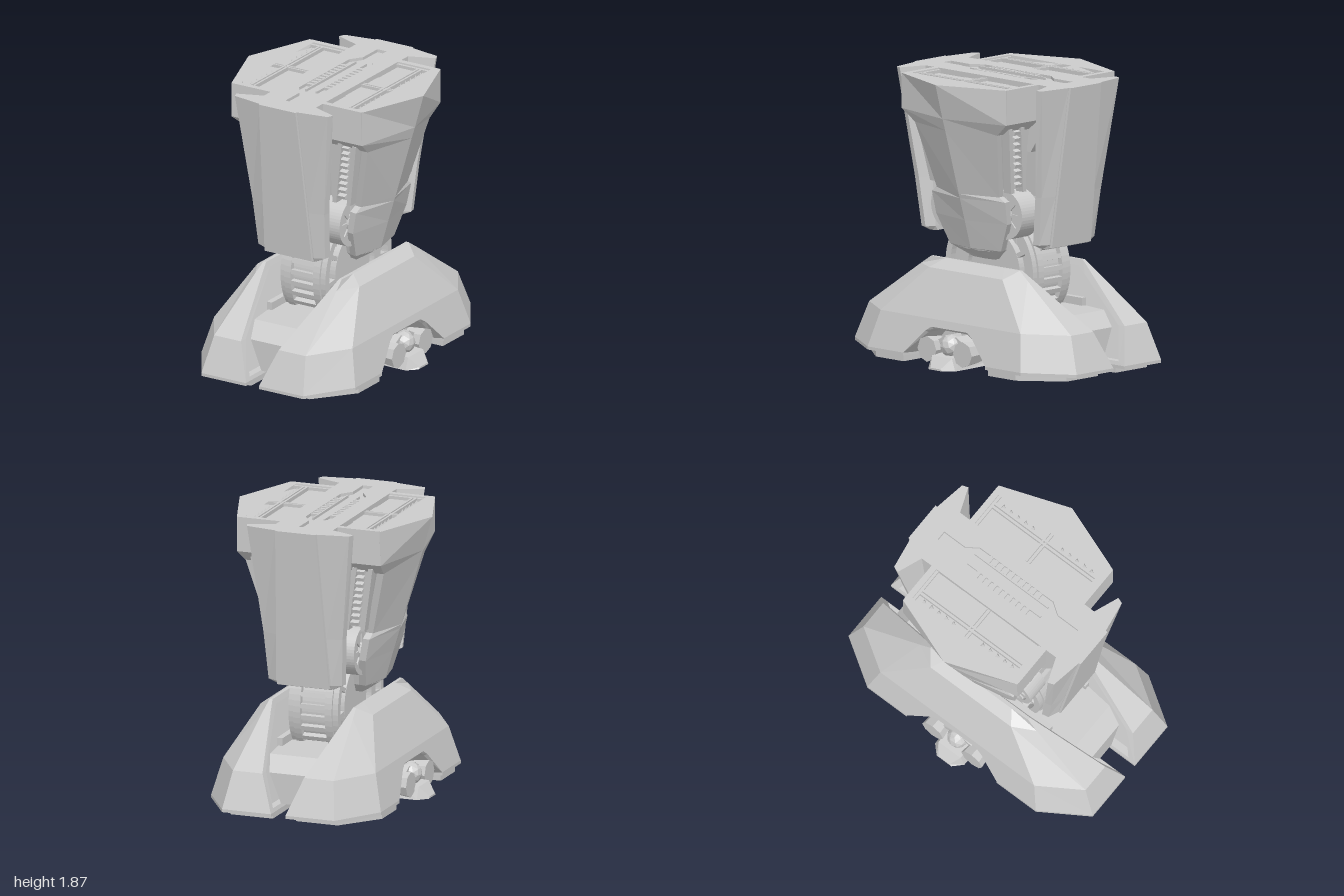
import * as THREE from 'three';

const mat = new THREE.MeshStandardMaterial({ color: 0xcccccc, flatShading: true });
const thin = new THREE.MeshStandardMaterial({ color: 0xcccccc, flatShading: true, side: THREE.DoubleSide });

function add(parent, name, geo, pos = [0, 0, 0], rot = [0, 0, 0], material = mat) {
  const m = new THREE.Mesh(geo, material);
  m.name = name;
  m.position.set(...pos);
  m.rotation.set(...rot);
  parent.add(m);
  return m;
}
const box = (p, name, size, pos, rot) => add(p, name, new THREE.BoxGeometry(...size), pos, rot);

// Flat polygons, each split as a fan
function facets(polys, flip = false) {
  const v = [];
  for (const p of polys) {
    for (let i = 1; i < p.length - 1; i++) {
      v.push(...p[0], ...(flip ? p[i + 1] : p[i]), ...(flip ? p[i] : p[i + 1]));
    }
  }
  const g = new THREE.BufferGeometry();
  g.setAttribute('position', new THREE.Float32BufferAttribute(v, 3));
  g.computeVertexNormals();
  return g;
}

// Closed solid through rings of equal length; faces turned outward by signed volume
function loft(rings) {
  const polys = [[...rings[0]].reverse(), rings[rings.length - 1]];
  const n = rings[0].length;
  for (let k = 0; k < rings.length - 1; k++) {
    const a = rings[k], b = rings[k + 1];
    for (let i = 0; i < n; i++) polys.push([a[i], a[(i + 1) % n], b[(i + 1) % n], b[i]]);
  }
  let vol = 0;
  const [A, B, C] = [0, 1, 2].map(() => new THREE.Vector3());
  for (const p of polys) {
    for (let i = 1; i < p.length - 1; i++) {
      vol += A.set(...p[0]).dot(B.set(...p[i]).cross(C.set(...p[i + 1])));
    }
  }
  return facets(polys, vol < 0);
}
const ring = (y, pts) => pts.map(([x, z]) => [x, y, z]);
const mirrorZ = pts => [...pts, ...[...pts].reverse().map(([x, z]) => [x, -z])];
const mirrorX = pts => [...pts, ...[...pts].reverse().map(([x, z]) => [-x, z])];

// Horizontal plate from an x-z outline
function slab(pts, y0, y1, hole) {
  const toV = ([x, z]) => new THREE.Vector2(x, -z);
  const s = new THREE.Shape(pts.map(toV));
  if (hole) s.holes.push(new THREE.Path(hole.map(toV)));
  return new THREE.ExtrudeGeometry(s, { depth: y1 - y0, bevelEnabled: false }).rotateX(-Math.PI / 2).translate(0, y0, 0);
}

// Half of the foot armour, with an arch in its outer side and a recessed inner wall
function footCover(g) {
  const levels = [
    [0.06, [[0.05, 1], [0.39, 1], [0.59, 0.69]]],
    [0.3, [[0.145, 0.91], [0.35, 0.91], [0.53, 0.63]]],
    [0.6, [[0.26, 0.48], [0.31, 0.48], [0.39, 0.33]]],
    [0.655, [[0.28, 0.4], [0.3, 0.4], [0.305, 0.27]]],
  ].map(([y, p]) => ring(y, mirrorZ(p)));
  const polys = [];
  for (let k = 0; k < 3; k++) {
    for (let i = 0; i < 5; i++) {
      if (k === 0 && i === 2) continue;
      const a = levels[k], b = levels[k + 1];
      polys.push([a[i], a[i + 1], b[i + 1], b[i]]);
    }
  }
  polys.push(levels[3]);
  // Arched outer side
  const side = (z, y) => [0.59 - (y - 0.06) * 0.25, y, z];
  const arch = [[0.37, 0.06], [0.21, 0.22], [0.16, 0.25]];
  for (const s of [1, -1]) {
    polys.push([side(s * 0.69, 0.06), side(s * 0.63, 0.3), ...[...arch].reverse().map(([z, y]) => side(s * z, y))]);
  }
  polys.push([side(0.63, 0.3), side(-0.63, 0.3), side(-0.16, 0.25), side(0.16, 0.25)]);
  const edge = mirrorX(arch);
  const lip = edge.map(([z, y]) => side(z, y));
  const lip2 = edge.map(([z, y]) => [0.53, 0.04 + (y - 0.04) * 0.94, z * 0.94]);
  const deep = lip2.map(([, y, z]) => [0.36, y, z]);
  for (let i = 0; i < 5; i++) {
    polys.push([lip[i], lip[i + 1], lip2[i + 1], lip2[i]], [lip2[i], lip2[i + 1], deep[i + 1], deep[i]]);
  }
  polys.push(deep);
  // Inner rim and recessed wall
  const P = [...levels.map(l => l[0]), ...[...levels].reverse().map(l => l[5])];
  const Q = P.map(([, y, z]) => {
    const q = 0.3 + (y - 0.3) * 0.9;
    return [0.05 + (q - 0.06) * 0.385, q, z * 0.94];
  });
  const R = Q.map(([x, y, z]) => [x + 0.05, y, z]);
  P.forEach((_, i) => {
    const j = (i + 1) % P.length;
    polys.push([P[i], P[j], Q[j], Q[i]], [Q[i], Q[j], R[j], R[i]]);
  });
  polys.push(R);
  add(g, 'footCover', facets(polys), undefined, undefined, thin);

  add(g, 'coverLip', slab(mirrorZ([[0.05, 1], [0.39, 1], [0.59, 0.69], [0.59, 0.37], [0.36, 0.35]]), 0.04, 0.06));
  for (const s of [1, -1]) {
    const pad = [[0.08, 0.3], [0.36, 0.3], [0.4, 0.38], [0.575, 0.38], [0.575, 0.63], [0.37, 0.89], [0.08, 0.89]];
    const hole = [[0.17, 0.34], [0.33, 0.34], [0.38, 0.41], [0.54, 0.41], [0.54, 0.62], [0.35, 0.86], [0.17, 0.86]];
    add(g, 'solePad', slab(pad.map(([x, z]) => [x, s * z]), 0.015, 0.05));
    add(g, 'soleRim', slab(pad.map(([x, z]) => [x, s * z]), 0, 0.02, hole.map(([x, z]) => [x, s * z])));
    // Arch machinery
    add(g, 'sideJoint', new THREE.CylinderGeometry(0.07, 0.085, 0.13, 8), [0.52, 0.11, s * 0.16], [0, 0, Math.PI / 2]);
    box(g, 'jointStrut', [0.14, 0.03, 0.14], [0.46, 0.16, s * 0.1], [s * 0.5, 0, 0]);
  }
  add(g, 'centreJoint', new THREE.IcosahedronGeometry(0.075, 1), [0.52, 0.14, 0]);
  add(g, 'sideSpur', loft([[0.08, 0.1, 0.05], [0.5, 0.12, 0.09], [0.61, 0.12, 0.08], [0.67, 0.06, 0.012]].map(([x, w, h]) =>
    [[x, 0, w], [x, h, w * 0.75], [x, h, -w * 0.75], [x, 0, -w]])));
}

// Side armour of the shin with its collar, louvres and knuckle discs
function shinSide(g) {
  const section = ([y, xr, xf, zf]) => ring(y, [[xf, zf], [xr, 0], [xf, -zf], [xf - 0.05, -zf + 0.01], [xr - 0.05, 0], [xf - 0.05, zf - 0.01]]);
  add(g, 'shinShell', loft([
    [1.87, 0.67, 0.5, 0.47], [1.64, 0.605, 0.5, 0.47], [1.56, 0.58, 0.48, 0.37], [1.13, 0.455, 0.37, 0.28],
    [1.1, 0.445, 0.365, 0.33], [0.95, 0.4, 0.335, 0.32], [0.76, 0.345, 0.3, 0.23], [0.68, 0.23, 0.22, 0.1],
  ].map(section)));
  add(g, 'shellFloor', loft([
    ring(0.83, mirrorZ([[0.2, 0.2], [0.3, 0.22], [0.34, 0.05]])),
    ring(0.75, mirrorZ([[0.2, 0.18], [0.29, 0.2], [0.33, 0.05]])),
    ring(0.68, mirrorZ([[0.17, 0.08], [0.2, 0.09], [0.22, 0.03]])),
  ]));
  for (const s of [1, -1]) {
    const at = (y, x0, x1, z0, z1) => ring(y, [[x0, s * z0], [x1, s * z0], [x1, s * z1], [x0, s * z1]]);
    add(g, 'collar', loft([at(1.87, 0.2, 0.49, 0.43, 0.47), at(1.64, 0.2, 0.5, 0.4, 0.47), at(1.56, 0.2, 0.47, 0.3, 0.37)]));
    add(g, 'louvrePanel', loft([at(1.62, 0.2, 0.41, 0.25, 0.39), at(1.18, 0.18, 0.31, 0.18, 0.33)]));
    for (let i = 0; i < 9; i++) {
      const t = i / 8;
      box(g, 'louvre', [0.085, 0.022, 0.04], [0.26 + t * 0.06, 1.21 + t * 0.36, s * (0.345 + t * 0.05)], [s * 0.35, 0, 0]);
    }
    for (const x of [0.215, 0.325]) {
      add(g, 'louvreFrame', loft([at(1.6, x + 0.07, x + 0.1, 0.36, 0.425), at(1.16, x - 0.01, x + 0.02, 0.3, 0.365)]));
    }
    // Knuckle disc
    const c = [0.21, 1, s * 0.25];
    add(g, 'knuckleDisc', new THREE.CylinderGeometry(0.135, 0.135, 0.13, 20), c, [0, 0, Math.PI / 2]);
    add(g, 'knuckleRim', arcBand(0.16, 0.125, 0, Math.PI * 2, 0.16), c);
    add(g, 'knuckleHub', new THREE.CylinderGeometry(0.06, 0.06, 0.17, 10), c, [0, 0, Math.PI / 2]);
    for (let i = 0; i < 8; i++) {
      const a = i * Math.PI / 4;
      box(g, 'knuckleSpoke', [0.15, 0.022, 0.09], [c[0], 1 + Math.sin(a) * 0.09, c[2] + Math.cos(a) * 0.09], [-a, 0, 0]);
    }
    // Deck ribs
    box(g, 'deckCrossRib', [0.43, 0.02, 0.012], [0.42, 1.85, s * 0.012]);
    box(g, 'deckEndRib', [0.26, 0.02, 0.02], [0.33, 1.85, s * 0.42]);
    for (let i = 0; i < 5; i++) add(g, 'deckTooth', new THREE.ConeGeometry(0.018, 0.03, 3), [0.415, 1.85, s * (0.12 + i * 0.06)]);
  }
  for (const x of [0.365, 0.39]) box(g, 'deckLongRib', [0.014, 0.025, 0.82], [x, 1.85, 0]);
  add(g, 'deck', slab(mirrorZ([[0.19, 0.45], [0.47, 0.45], [0.64, 0]].slice(0, 2).concat([[0.63, 0.02]])), 1.78, 1.835));
}

// Ring sector in the y-z plane, centred along x
function arcBand(r1, r0, a0, a1, width) {
  const s = new THREE.Shape();
  s.absarc(0, 0, r1, a0, a1, false);
  s.absarc(0, 0, r0, a1, a0, true);
  return new THREE.ExtrudeGeometry(s, { depth: width, bevelEnabled: false, curveSegments: 24 })
    .translate(0, 0, -width / 2).rotateY(-Math.PI / 2);
}

// Front or back shin guard
function shinGuard(g) {
  add(g, 'guardPlate', loft([
    ring(1.87, mirrorX([[0.2, 0.55], [0.37, 0.615], [0.355, 0.655], [0.145, 0.69]])),
    ring(1.15, mirrorX([[0.2, 0.485], [0.285, 0.525], [0.275, 0.57], [0.175, 0.6]])),
    ring(0.83, mirrorX([[0.2, 0.457], [0.265, 0.485], [0.255, 0.53], [0.19, 0.56]])),
    ring(0.8, mirrorX([[0.18, 0.457], [0.2, 0.48], [0.2, 0.51], [0.185, 0.545]])),
  ]));
  add(g, 'guardCentre', loft([
    ring(1.87, mirrorX([[0.15, 0.64], [0.14, 0.705]])),
    ring(0.81, mirrorX([[0.19, 0.5], [0.18, 0.572]])),
  ]));
  add(g, 'guardBracket', loft([[0.56, 1.85], [0.53, 1.62], [0.4, 1.42]].map(([z, y]) =>
    ring(y, [[-0.2, 0.2], [0.2, 0.2], [0.2, z], [-0.2, z]]))));
  // Sloping ramp between the foot covers
  add(g, 'footRamp', loft([
    ring(0.08, mirrorX([[0.06, 0], [0.06, 0.8]])),
    ring(0.28, mirrorX([[0.14, 0], [0.14, 0.8]])),
    ring(0.375, mirrorX([[0.18, 0], [0.18, 0.69]])),
    ring(0.43, mirrorX([[0.21, 0], [0.21, 0.4]])),
  ].map(r => r.map(([x, y, z]) => [x, y > 0.4 ? 0.38 : y, z]))));
  for (const x of [-0.19, 0.19]) box(g, 'rampRail', [0.04, 0.06, 0.3], [x, 0.4, 0.35]);
}

export function createModel() {
  const model = new THREE.Group();
  model.name = 'armouredLeg';
  for (const s of [1, -1]) {
    const half = new THREE.Group();
    half.name = s > 0 ? 'leftHalf' : 'rightHalf';
    half.scale.x = s;
    footCover(half);
    shinSide(half);
    const end = new THREE.Group();
    end.name = s > 0 ? 'frontGuard' : 'backGuard';
    end.rotation.y = s > 0 ? 0 : Math.PI;
    shinGuard(end);
    model.add(half, end);
  }

  // Inner shin and top beam with its toothed slot
  add(model, 'shinCore', loft([
    ring(1.79, mirrorX([[0.6, 0], [0.43, 0.3], [0.2, 0.38]]).concat([[-0.43, -0.3], [0.43, -0.3]])),
    ring(0.85, mirrorX([[0.31, 0], [0.27, 0.15], [0.17, 0.2]]).concat([[-0.27, -0.15], [0.27, -0.15]])),
  ]));
  const slot = mirrorZ([[0.035, 0.55], [0.035, 0.38], [0.09, 0.3]]);
  add(model, 'topBeam', slab([[0.2, 0.56], [0.2, -0.56], [-0.2, -0.56], [-0.2, 0.56]], 1.84, 1.87,
    [...slot, ...[...slot].reverse().map(([x, z]) => [-x, z])]));
  box(model, 'slotFloor', [0.38, 0.06, 1.1], [0, 1.82, 0]);
  for (const x of [-0.04, 0.04]) box(model, 'slotRail', [0.01, 0.02, 0.6], [x, 1.857, 0]);
  for (let i = 0; i < 10; i++) {
    for (const x of [-0.067, 0.067]) box(model, 'slotTooth', [0.045, 0.02, 0.025], [x, 1.858, -0.2 + i * 0.0445]);
  }

  // Ankle wheel with a ladder track
  const ankle = new THREE.Group();
  ankle.name = 'ankleWheel';
  ankle.position.y = 0.6;
  const a0 = -0.69, a1 = Math.PI + 0.69;
  add(ankle, 'trackBed', arcBand(0.375, 0.2, a0, a1, 0.24));
  for (const s of [1, -1]) {
    add(ankle, 'trackRim', arcBand(0.41, 0.36, a0, a1, 0.05), [s * 0.11, 0, 0]);
    add(ankle, 'outerRim', arcBand(0.395, 0.35, a0, a1, 0.045), [s * 0.15, 0, 0]);
    add(ankle, 'innerRim', arcBand(0.27, 0.2, a0, a1, 0.045), [s * 0.145, 0, 0]);
  }
  for (let i = 0; i <= 24; i++) {
    const a = a0 + 0.02 + (a1 - a0 - 0.04) * i / 24;
    const at = r => [0, Math.sin(a) * r, Math.cos(a) * r];
    box(ankle, 'rung', [0.18, 0.03, 0.04], at(0.388), [-a, 0, 0]);
    if (i % 3 === 0) box(ankle, 'wheelSpoke', [0.33, 0.03, 0.12], at(0.31), [-a, 0, 0]);
  }
  model.add(ankle);
  box(model, 'ankleCore', [0.26, 0.7, 0.4], [0, 0.72, 0]);
  return model;
}
